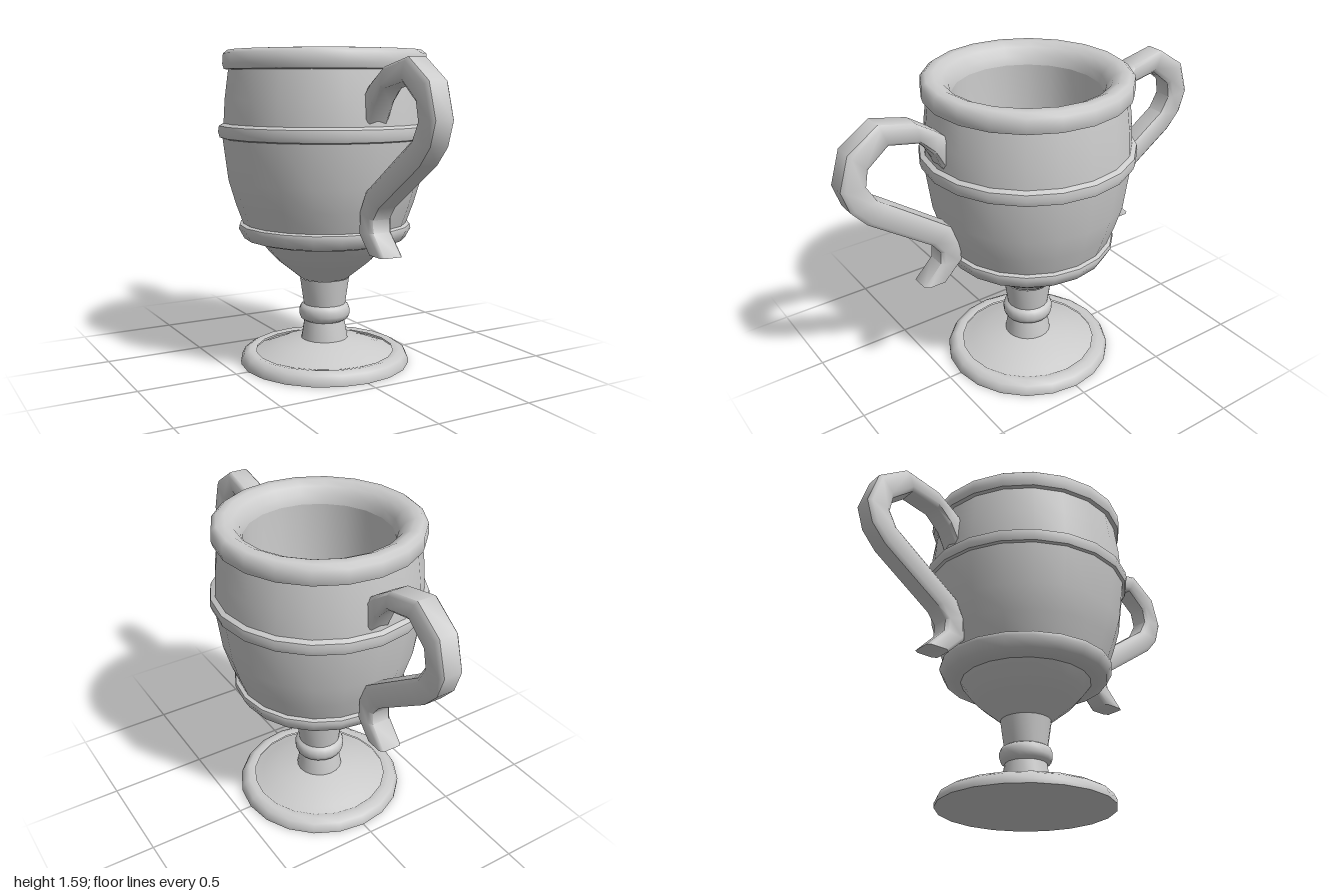
import * as THREE from 'three';
import { toCreasedNormals } from 'three/addons/utils/BufferGeometryUtils.js';

const SIDES = 20;
const material = new THREE.MeshStandardMaterial({ color: 0xcccccc, side: THREE.DoubleSide });

// Turned part from a [radius, height] profile
function turned(name, profile, crease = 0.9) {
  const points = profile.map(([r, y]) => new THREE.Vector2(r, y));
  const geometry = toCreasedNormals(new THREE.LatheGeometry(points, SIDES), crease);
  const mesh = new THREE.Mesh(geometry, material);
  mesh.name = name;
  return mesh;
}

// Handle stations: outer z, outer y, inner z, inner y
const STATIONS = [
  [0.46, 1.39, 0.46, 1.17], [0.52, 1.435, 0.54, 1.33], [0.62, 1.5, 0.61, 1.405],
  [0.8, 1.54, 0.76, 1.435], [0.95, 1.44, 0.865, 1.35], [1.0, 1.28, 0.88, 1.27],
  [0.965, 1.17, 0.835, 1.19], [0.89, 1.085, 0.77, 1.145], [0.58, 0.87, 0.475, 0.935],
  [0.535, 0.81, 0.43, 0.845], [0.54, 0.75, 0.425, 0.735], [0.635, 0.65, 0.51, 0.65],
];
// Chamfered section: x, and share of the way from outer to inner edge
const SECTION = [
  [-0.045, 0], [0.045, 0], [0.06, 0.16], [0.06, 0.84],
  [0.045, 1], [-0.045, 1], [-0.06, 0.84], [-0.06, 0.16],
];

function handleGeometry() {
  const positions = [];
  const index = [];
  const n = SECTION.length;
  for (const [oz, oy, iz, iy] of STATIONS) {
    for (const [x, t] of SECTION) positions.push(x, oy + (iy - oy) * t, oz + (iz - oz) * t);
  }
  for (let i = 0; i < STATIONS.length - 1; i++) {
    for (let j = 0; j < n; j++) {
      const a = i * n + j;
      const b = i * n + (j + 1) % n;
      index.push(a, a + n, b + n, a, b + n, b);
    }
  }
  // Flat end at the bottom
  const last = (STATIONS.length - 1) * n;
  for (let j = 1; j < n - 1; j++) index.push(last, last + j + 1, last + j);
  const geometry = new THREE.BufferGeometry();
  geometry.setAttribute('position', new THREE.Float32BufferAttribute(positions, 3));
  geometry.setIndex(index);
  return toCreasedNormals(geometry, 0.85);
}

export function createModel() {
  const cup = new THREE.Group();
  cup.name = 'twoHandledCup';

  // Foot and stem
  cup.add(turned('footRing', [[0, 0], [0.435, 0], [0.435, 0.02], [0.42, 0.05], [0.39, 0.067], [0.355, 0.06]]));
  cup.add(turned('footDome', [[0.36, 0.05], [0.31, 0.068], [0.23, 0.1], [0.12, 0.122]]));
  cup.add(turned('lowerStem', [[0.12, 0.122], [0.104, 0.22]]));
  cup.add(turned('stemBead', [[0.1, 0.215], [0.122, 0.228], [0.13, 0.25], [0.13, 0.275], [0.122, 0.295], [0.1, 0.308]]));
  cup.add(turned('upperStem', [[0.107, 0.3], [0.127, 0.44]]));

  // Bowl
  cup.add(turned('bowlUnderside', [[0.122, 0.44], [0.24, 0.535], [0.29, 0.59], [0.33, 0.642]]));
  cup.add(turned('lowerBand', [[0.32, 0.64], [0.36, 0.64], [0.41, 0.655], [0.437, 0.705], [0.433, 0.725], [0.405, 0.735]]));
  cup.add(turned('lowerWall', [[0.41, 0.72], [0.45, 0.83], [0.485, 0.95], [0.512, 1.165]]));
  cup.add(turned('middleBand', [[0.505, 1.155], [0.525, 1.163], [0.533, 1.19], [0.528, 1.22], [0.505, 1.232]]));
  cup.add(turned('upperWall', [[0.506, 1.22], [0.498, 1.35], [0.478, 1.5]]));
  cup.add(turned('rim', [
    [0.47, 1.49], [0.5, 1.495], [0.507, 1.52], [0.503, 1.57], [0.48, 1.588],
    [0.44, 1.59], [0.4, 1.57], [0.37, 1.53], [0.36, 1.49],
  ]));
  cup.add(turned('bowlInside', [[0.36, 1.49], [0.355, 1.1], [0.335, 0.8], [0, 0.67]], Math.PI));

  // Handles, front and back
  const geometry = handleGeometry();
  ['frontHandle', 'backHandle'].forEach((name, i) => {
    const handle = new THREE.Mesh(geometry, material);
    handle.name = name;
    handle.rotation.y = i * Math.PI;
    cup.add(handle);
  });
  return cup;
}
